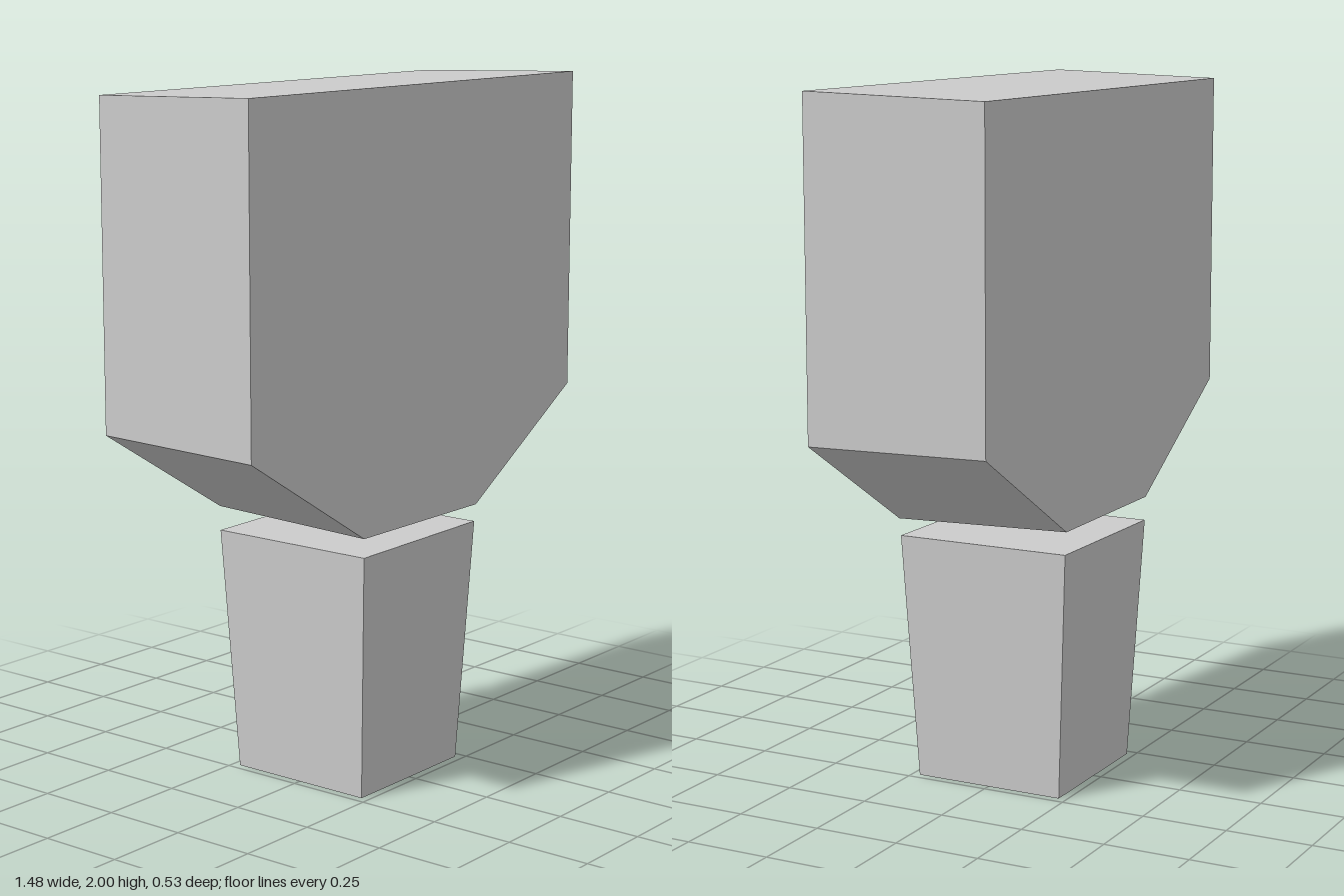
import * as THREE from 'three';

// Scale the vertices picked by a test in two axes about a centre
function taper(geometry, picks, apply) {
  const p = geometry.attributes.position;
  const v = new THREE.Vector3();
  for (let i = 0; i < p.count; i++) {
    v.fromBufferAttribute(p, i);
    if (picks(v)) apply(v);
    p.setXYZ(i, v.x, v.y, v.z);
  }
  geometry.computeVertexNormals();
  return geometry;
}

export function createModel() {
  const model = new THREE.Group();
  const material = new THREE.MeshStandardMaterial({ color: 0xcccccc, flatShading: true });

  // Head: slab with chamfered lower corners, slightly smaller at the back
  const half = [[0.265, 0.77], [0.74, 1.06], [0.74, 2]];
  const mirrored = half.map(([x, y]) => [-x, y]).reverse();
  const outline = new THREE.Shape([...half, ...mirrored].map(([x, y]) => new THREE.Vector2(x, y)));
  const headGeometry = new THREE.ExtrudeGeometry(outline, { depth: 0.53, bevelEnabled: false });
  headGeometry.translate(0, 0, -0.265);
  taper(headGeometry, (v) => v.z < 0, (v) => {
    v.x *= 0.98;
    v.y = 1.385 + (v.y - 1.385) * 0.976;
  });
  const head = new THREE.Mesh(headGeometry, material);
  head.name = 'head';
  model.add(head);

  // Handle: square block narrowing to its foot, separated from the head by a gap
  const handleGeometry = new THREE.BoxGeometry(0.524, 0.717, 0.524);
  handleGeometry.translate(0, 0.3585, 0);
  taper(handleGeometry, (v) => v.y < 0.1, (v) => {
    v.x *= 0.865;
    v.z *= 0.865;
  });
  // The top leans very slightly to one side
  taper(handleGeometry, (v) => v.y > 0.1, (v) => { v.y += 0.01 * v.x; });
  const handle = new THREE.Mesh(handleGeometry, material);
  handle.name = 'handle';
  model.add(handle);

  return model;
}
